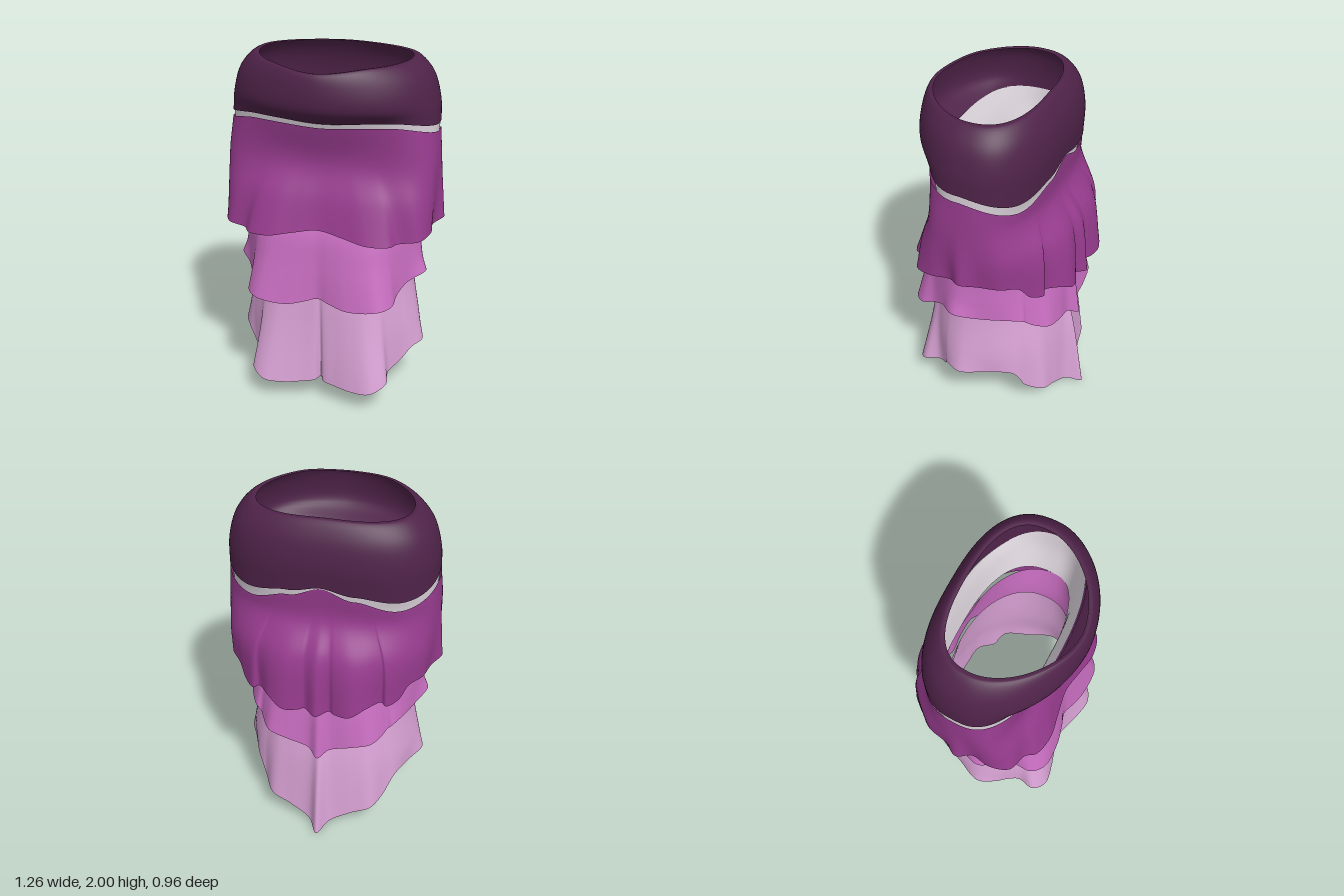
import * as THREE from 'three';

const COLS = 256, ROWS = 22, ZC = 0.05;

const material = (name, color) => {
  const m = new THREE.MeshStandardMaterial({ color, side: THREE.DoubleSide });
  m.name = name;
  return m;
};

// Height around the body, from front centre (0) to back centre (180 degrees)
const heights = (...keys) => (a) => {
  const d = Math.abs(a) * 180 / Math.PI;
  for (let i = 1; i < keys.length; i++) {
    const [d0, y0] = keys[i - 1], [d1, y1] = keys[i];
    if (d <= d1) return y0 + (y1 - y0) * THREE.MathUtils.smoothstep(d, d0, d1);
  }
  return keys[keys.length - 1][1];
};

// Rounded oval with separate front and back depths; higher rounding powers are squarer
function ovalPoint(a, [y, rx, zf, zb, frontPower], backPower) {
  const s = Math.sin(a), c = Math.cos(a);
  const hz = c > 0 ? zf - ZC : ZC - zb;
  const n = c > 0 ? frontPower : backPower;
  const r = Math.pow(Math.pow(Math.abs(s) / rx, n) + Math.pow(Math.abs(c) / hz, n), -1 / n);
  return new THREE.Vector3(s * r, typeof y === 'function' ? y(a) : y, ZC + c * r);
}

// Half a hem (front centre to back centre), mirrored into a closed curve
function mirroredHem(half) {
  const left = half.map((p) => new THREE.Vector3(...p));
  const right = left.slice(1, -1).reverse().map((p) => new THREE.Vector3(-p.x, p.y, p.z));
  return new THREE.CatmullRomCurve3([...left, ...right], true, 'centripetal');
}

// Loft down through ovals [y, halfWidth, front, back, frontPower, fold] to an optional hem
function drape(name, mat, backPower, rings, hemHalf) {
  const hem = hemHalf && mirroredHem(hemHalf);
  const pos = [], idx = [];
  for (let i = 0; i < COLS; i++) {
    const u = i / COLS;
    const h = hem && hem.getPoint(u);
    const a = h ? Math.atan2(h.x, h.z - ZC) : (u > 0.5 ? u - 1 : u) * Math.PI * 2;
    const pts = rings.map((ring) => {
      const p = ovalPoint(a, ring, backPower);
      if (h) {
        p.x += (h.x - p.x) * ring[5];
        p.z += (h.z - p.z) * ring[5];
      }
      return p;
    });
    if (h) pts.push(h);
    const column = new THREE.CatmullRomCurve3(pts, false, 'centripetal');
    for (let j = 0; j <= ROWS; j++) pos.push(...column.getPoint(j / ROWS).toArray());
  }
  const at = (i, j) => (i % COLS) * (ROWS + 1) + j;
  for (let i = 0; i < COLS; i++) {
    for (let j = 0; j < ROWS; j++) {
      const p = at(i, j), q = at(i + 1, j), r = at(i + 1, j + 1), s = at(i, j + 1);
      idx.push(p, s, r, p, r, q);
    }
  }
  const geo = new THREE.BufferGeometry();
  geo.setAttribute('position', new THREE.Float32BufferAttribute(pos, 3));
  geo.setIndex(idx);
  geo.computeVertexNormals();
  const mesh = new THREE.Mesh(geo, mat);
  mesh.name = name;
  return mesh;
}

export function createModel() {
  const group = new THREE.Group();
  group.name = 'tieredSkirt';

  const plum = material('plum', 0x4f2349);
  const purple = material('purple', 0x963b8d);
  const pink = material('orchidPink', 0xc96ec1);
  const pale = material('palePink', 0xdaa3d6);
  const white = material('liningWhite', 0xe2dae2);

  // Waistband shell, overhanging at the front
  const bandKeys = [[0, 1.67], [55, 1.685], [90, 1.64], [125, 1.565], [152, 1.6], [180, 1.635]];
  const rim = heights([0, 1.96], [45, 1.98], [110, 1.985], [180, 1.995]);
  group.add(drape('waistband', plum, 2.6, [
    [rim, 0.425, 0.435, -0.2, 1.75],
    [rim, 0.455, 0.455, -0.225, 1.75],
    [1.9, 0.535, 0.478, -0.285, 1.8],
    [1.76, 0.578, 0.475, -0.312, 1.85],
    [heights(...bandKeys), 0.586, 0.357, -0.306, 2.3],
  ]));

  // Lining that shows as a pale strip under the waistband and meets the middle tier
  const liningTop = heights(...bandKeys.map(([d, y]) => [d, y + 0.012]));
  group.add(drape('lining', white, 2.6, [
    [liningTop, 0.582, 0.35, -0.301, 2.3],
    [1.5, 0.57, 0.285, -0.28, 2.6],
    [1.3, 0.53, 0.262, -0.26, 2.6],
  ]));

  // Upper tier
  const topEdge = heights([0, 1.645], [55, 1.66], [90, 1.6], [125, 1.51], [152, 1.57], [180, 1.63]);
  group.add(drape('upperTier', purple, 2.5, [
    [topEdge, 0.587, 0.352, -0.304, 2.4, 0],
    [1.43, 0.598, 0.3, -0.298, 3.8, 0.03],
    [1.24, 0.606, 0.335, -0.38, 3.6, 0.42],
  ], [
    [0, 1.08, 0.41], [0.14, 1.06, 0.43], [0.28, 1.035, 0.45], [0.4, 1.03, 0.42],
    [0.44, 1.035, 0.37], [0.55, 1.045, 0.33], [0.592, 1.06, 0.22], [0.58, 1.065, 0.11],
    [0.63, 1.085, 0.03], [0.58, 1.065, -0.06], [0.55, 1.065, -0.18], [0.485, 1.05, -0.26],
    [0.44, 0.98, -0.31], [0.38, 0.965, -0.365], [0.35, 0.975, -0.35], [0.28, 0.97, -0.42],
    [0.19, 0.92, -0.46], [0.1, 0.915, -0.44], [0.07, 0.915, -0.42], [0, 0.9, -0.465],
  ]));

  // Middle tier
  group.add(drape('middleTier', pink, 2.1, [
    [1.3, 0.53, 0.275, -0.265, 2.6, 0],
    [1.06, 0.49, 0.385, -0.31, 2.4, 0.2],
    [0.86, 0.495, 0.41, -0.34, 2.4, 0.5],
  ], [
    [0, 0.67, 0.425], [0.07, 0.655, 0.445], [0.18, 0.635, 0.47], [0.35, 0.65, 0.465],
    [0.42, 0.665, 0.4], [0.43, 0.7, 0.31], [0.47, 0.745, 0.23], [0.552, 0.775, 0.12],
    [0.5, 0.755, -0.03], [0.44, 0.755, -0.19], [0.405, 0.745, -0.25], [0.375, 0.715, -0.26],
    [0.35, 0.69, -0.3], [0.3, 0.67, -0.365], [0.18, 0.64, -0.385], [0.06, 0.6, -0.385],
    [0, 0.565, -0.43],
  ]));

  // Lower tier, with a pleat at the front and a pointed tail at the back
  group.add(drape('lowerTier', pale, 2.1, [
    [1.12, 0.455, 0.33, -0.265, 2.4, 0],
    [0.72, 0.455, 0.385, -0.31, 2.5, 0.15],
    [0.45, 0.495, 0.39, -0.34, 2.5, 0.45],
  ], [
    [0, 0.135, 0.37], [0.025, 0.13, 0.41], [0.1, 0.122, 0.435], [0.2, 0.118, 0.465],
    [0.32, 0.13, 0.48], [0.4, 0.175, 0.42], [0.39, 0.2, 0.32], [0.44, 0.24, 0.25],
    [0.5, 0.315, 0.2], [0.545, 0.325, 0.1], [0.485, 0.33, -0.05], [0.425, 0.325, -0.19],
    [0.395, 0.27, -0.225], [0.365, 0.2, -0.25], [0.305, 0.155, -0.34], [0.19, 0.11, -0.365],
    [0.06, 0.04, -0.395], [0, 0, -0.475],
  ]));

  return group;
}
